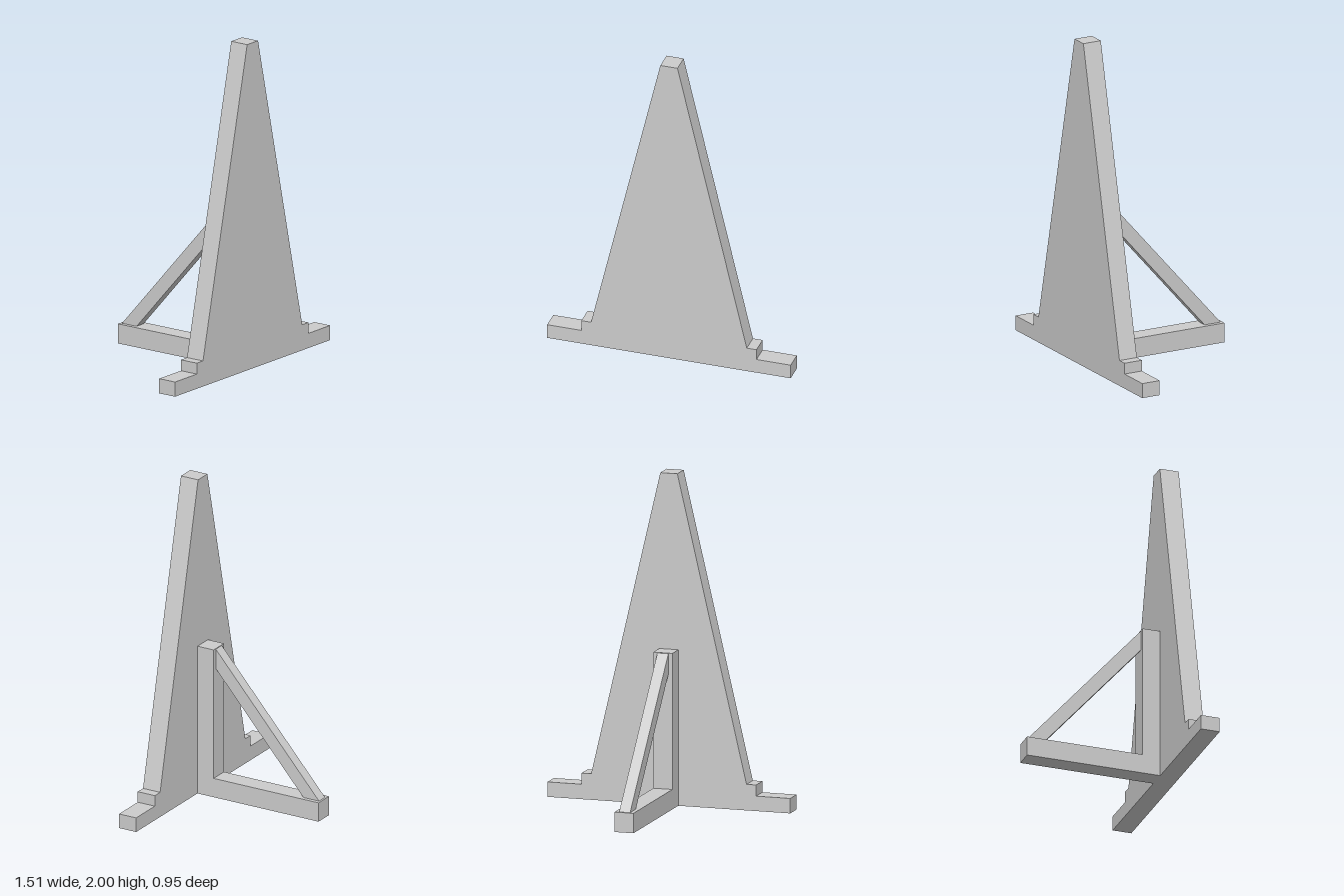
import * as THREE from 'three';

const material = new THREE.MeshStandardMaterial({ color: 0xcccccc, flatShading: true });

// Extrudes an outline by depth, centred on its own plane
function plate(name, points, depth) {
  const shape = new THREE.Shape(points.map(([x, y]) => new THREE.Vector2(x, y)));
  const geometry = new THREE.ExtrudeGeometry(shape, { depth, bevelEnabled: false });
  geometry.translate(0, 0, -depth / 2);
  const mesh = new THREE.Mesh(geometry, material);
  mesh.name = name;
  return mesh;
}

// Same, with the outline given as (z, y) and the depth running along x
function sidePlate(name, points, depth) {
  const mesh = plate(name, points, depth);
  mesh.geometry.rotateY(-Math.PI / 2);
  return mesh;
}

export function createModel() {
  const group = new THREE.Group();
  group.name = 'easelStand';

  // Tapered front panel with stepped feet, mirrored about x = 0
  const half = [[0.755, 0], [0.755, 0.09], [0.543, 0.09], [0.543, 0.157], [0.483, 0.157], [0.053, 2]];
  const mirrored = half.map(([x, y]) => [-x, y]).reverse();
  const panel = plate('frontPanel', [...half, ...mirrored], 0.118);
  panel.position.z = 0.418;
  group.add(panel);

  // Upright post and rear foot joined in an L
  group.add(sidePlate('rearSupport', [
    [-0.477, 0], [0.362, 0], [0.362, 0.94], [0.248, 0.94], [0.248, 0.12], [-0.477, 0.12],
  ], 0.118));

  // Narrow diagonal brace, cut flush with post and foot
  group.add(sidePlate('diagonalBrace', [
    [-0.465, 0.12], [-0.357, 0.12], [0.248, 0.812], [0.248, 0.936],
  ], 0.068));

  return group;
}
